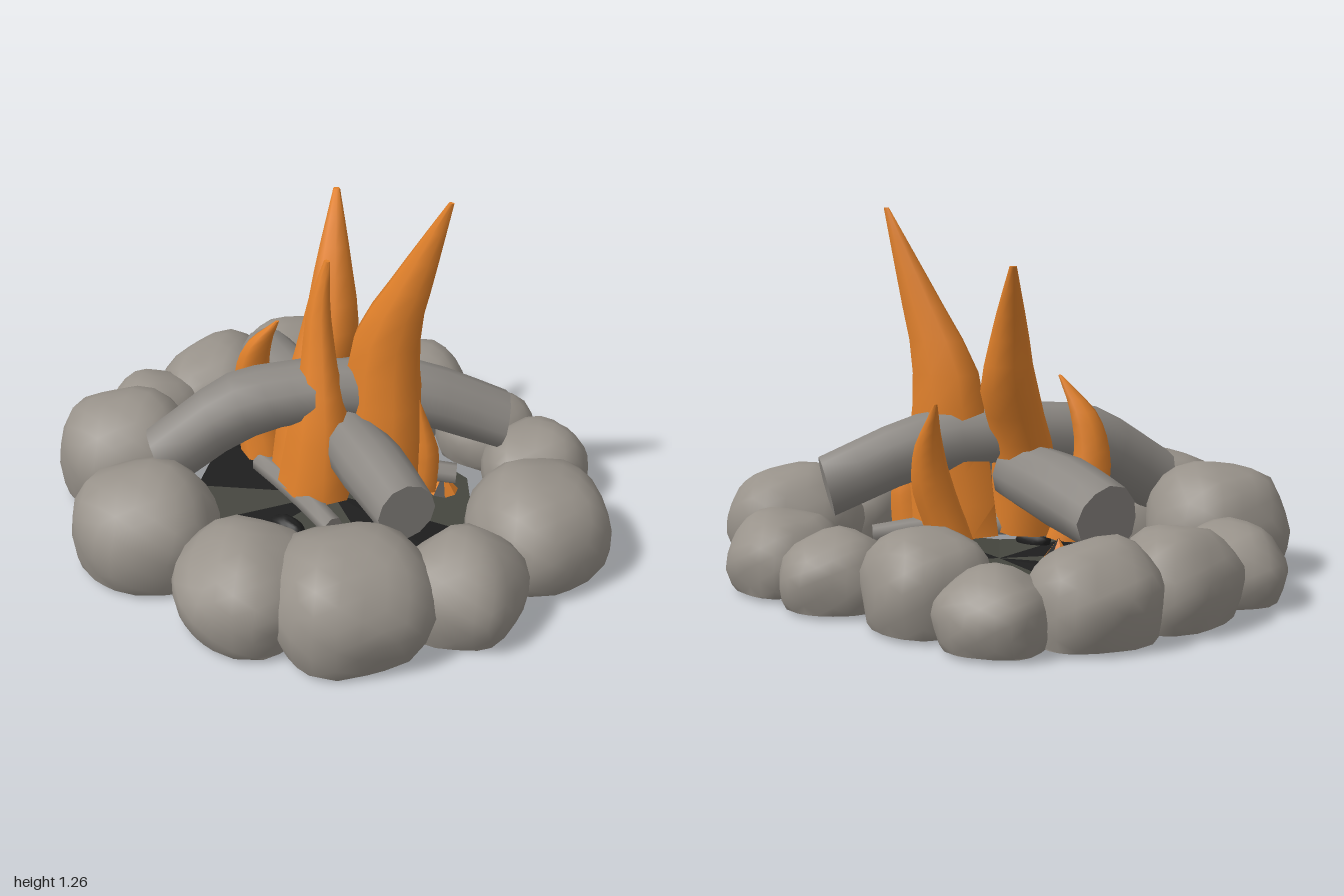
import * as THREE from 'three';
import { mergeVertices, toCreasedNormals } from 'three/addons/utils/BufferGeometryUtils.js';

const mat = (name, color) => {
  const m = new THREE.MeshStandardMaterial({ color });
  m.name = name;
  return m;
};

// Loft of rings along a smooth path; rings lie square to the chord (or to "up"), ends are capped
function loft(path, radii, { up, sides = 12, steps = 6, wobble = 0, depth = 1 }) {
  const curve = new THREE.CatmullRomCurve3(path.map((p) => new THREE.Vector3(...p)));
  const d = up || curve.getPoint(1).sub(curve.getPoint(0)).normalize();
  const ref = Math.abs(d.y) > 0.9 ? new THREE.Vector3(0, 0, 1) : new THREE.Vector3(0, 1, 0);
  const u = ref.clone().cross(d).normalize();
  const v = d.clone().cross(u);
  const pos = [], idx = [];
  for (let s = 0; s <= steps; s++) {
    const t = s / steps;
    const c = curve.getPoint(t);
    const f = t * (radii.length - 1), k = Math.min(Math.floor(f), radii.length - 2);
    const r = THREE.MathUtils.lerp(radii[k], radii[k + 1], f - k);
    for (let i = 0; i < sides; i++) {
      const a = (i / sides) * Math.PI * 2;
      const w = r * (1 + wobble * (Math.sin(a * 3 + path[0][0] * 20) + Math.sin(i * 5 + s * 0.7)));
      const p = c.clone().addScaledVector(u, Math.cos(a) * w).addScaledVector(v, Math.sin(a) * w * depth);
      pos.push(p.x, p.y, p.z);
    }
  }
  const n = (steps + 1) * sides;
  for (const t of [0, 1]) pos.push(...curve.getPoint(t).toArray());
  for (let i = 0; i < sides; i++) {
    const j = (i + 1) % sides;
    for (let s = 0; s < steps; s++) {
      const a = s * sides, b = a + sides;
      idx.push(a + i, a + j, b + j, a + i, b + j, b + i);
    }
    idx.push(n, j, i, n + 1, steps * sides + i, steps * sides + j);
  }
  const g = new THREE.BufferGeometry();
  g.setAttribute('position', new THREE.Float32BufferAttribute(pos, 3));
  g.setIndex(idx);
  return toCreasedNormals(g, 1.1);
}

// Lumpy boulder, steep-sided and open where it meets the ground
function boulder(rx, h, rz, seed) {
  let g = new THREE.IcosahedronGeometry(1, 3);
  g.deleteAttribute('uv');
  g.deleteAttribute('normal');
  g = mergeVertices(g);
  const p = g.attributes.position, floor = 0.013, cy = h * 0.4, low = cy * 1.9;
  const cut = (floor - cy) / low;
  for (let i = 0; i < p.count; i++) {
    const y = Math.max(cut, p.getY(i));
    // everything under the cut gathers on the rim
    const out = p.getY(i) < cut ? Math.sqrt((1 - cut * cut) / Math.max(1e-4, 1 - p.getY(i) ** 2)) : 1;
    const x = p.getX(i) * out, z = p.getZ(i) * out;
    const k = 1 + 0.03 * Math.sin(3.1 * x + 2 * z + seed * 2.1) + 0.035 * Math.sin(5 * z - 3 * x + seed * 3.7)
      + 0.025 * Math.sin(6 * y + 5 * x + seed);
    p.setXYZ(i, x * k, y > 0 ? y * k : y, z * k);
  }
  // fit to the wanted size
  g.computeBoundingBox();
  const { min, max } = g.boundingBox;
  const fit = (v, a) => ((v - min[a]) / (max[a] - min[a])) * 2 - 1;
  for (let i = 0; i < p.count; i++) {
    const y = p.getY(i);
    p.setXYZ(i, fit(p.getX(i), 'x') * rx, cy + (y > 0 ? (y / max.y) * (h - cy) : y * low), fit(p.getZ(i), 'z') * rz);
  }
  const idx = [...g.index.array], kept = [];
  for (let i = 0; i < idx.length; i += 3) {
    const tri = idx.slice(i, i + 3);
    if (tri.some((j) => p.getY(j) > floor + 1e-5)) kept.push(...tri);
  }
  g.setIndex(kept);
  return toCreasedNormals(g, 0.8);
}

// Fan over the ash outline; flip turns it to face down
function fan(rim, centre, flip, isDark) {
  const g = new THREE.BufferGeometry();
  const pos = [];
  rim.forEach((a, i) => {
    const b = rim[(i + 1) % rim.length];
    pos.push(...centre, ...(flip ? a : b), ...(flip ? b : a));
    g.addGroup(i * 3, 3, isDark(i) ? 1 : 0);
  });
  g.setAttribute('position', new THREE.Float32BufferAttribute(pos, 3));
  g.computeVertexNormals();
  return g;
}

export function createModel() {
  const stoneMat = mat('stone grey', 0x98928a);
  stoneMat.side = THREE.DoubleSide;
  const logMat = mat('charred wood grey', 0x8c8883);
  const flameMat = mat('flame orange', 0xe0802a);
  const ashMat = mat('ash grey', 0x45463f);
  const charMat = mat('charcoal black', 0x1e1e1e);

  const model = new THREE.Group();
  model.name = 'campfire';
  const add = (parent, name, geo, material) => {
    const m = new THREE.Mesh(geo, material);
    m.name = name;
    parent.add(m);
    return m;
  };
  const group = (name) => {
    const g = new THREE.Group();
    g.name = name;
    model.add(g);
    return g;
  };

  // Ring of stones: x, z, half width, half depth, height
  const stones = group('stoneRing');
  [
    [-0.24, 0.66, 0.265, 0.245, 0.37], [0.225, 0.645, 0.25, 0.26, 0.33],
    [0.525, 0.5, 0.285, 0.275, 0.365], [0.755, 0.21, 0.2, 0.215, 0.32],
    [0.75, -0.22, 0.25, 0.26, 0.345], [0.51, -0.55, 0.19, 0.205, 0.27],
    [0.225, -0.65, 0.175, 0.185, 0.26], [-0.13, -0.67, 0.225, 0.21, 0.31],
    [-0.42, -0.73, 0.175, 0.185, 0.25], [-0.625, -0.51, 0.21, 0.225, 0.31],
    [-0.745, -0.2, 0.2, 0.25, 0.3], [-0.81, 0.095, 0.19, 0.195, 0.26],
    [-0.615, 0.4, 0.255, 0.245, 0.39],
  ].forEach(([x, z, rx, rz, h], i) => {
    add(stones, 'stone', boulder(rx, h, rz, i + 1), stoneMat).position.set(x, 0, z);
  });

  // Ash bed: faceted disc, patchy on top and black below
  const bed = group('ashBed');
  const rim = [
    [-0.03, -0.475], [0.32, -0.41], [0.52, -0.19], [0.63, 0.02], [0.47, 0.24], [0.25, 0.37],
    [-0.02, 0.43], [-0.24, 0.4], [-0.42, 0.25], [-0.54, 0], [-0.54, -0.19], [-0.47, -0.34],
  ].map(([x, z], i) => [x, 0.02 + 0.018 * Math.sin(i * 2.3), z]);
  add(bed, 'ashTop', fan(rim, [0.02, 0.045, 0], false, (i) => [2, 3, 6, 8, 9].includes(i)), [ashMat, charMat]);
  add(bed, 'ashUnderside', fan(rim, [0.02, 0, 0], true, () => true), [ashMat, charMat]);

  // Leaning logs, each slightly bowed: path, radius
  const logs = group('logs');
  [
    [[[-0.35, 0.28, 0.49], [-0.18, 0.455, 0.25], [0.0, 0.495, 0.03]], 0.117],
    [[[0.54, 0.335, 0.24], [0.3, 0.345, 0.12], [0.06, 0.34, 0.0]], 0.108],
    [[[0.44, 0.33, -0.43], [0.2, 0.46, -0.2], [-0.06, 0.5, 0.07]], 0.107],
    [[[-0.54, 0.3, -0.26], [-0.3, 0.34, -0.12], [-0.06, 0.36, 0.01]], 0.117],
  ].forEach(([path, r]) => add(logs, 'log', loft(path, [r * 0.95, r * 1.04, r * 0.95], { wobble: 0.03 }), logMat));

  // Thin branches lying across the ash
  [
    [[-0.22, 0.14, 0.12], [0.0, 0.14, 0.17], [0.22, 0.12, 0.23]],
    [[-0.02, 0.17, 0.0], [0.16, 0.17, -0.12], [0.36, 0.14, -0.28]],
  ].forEach((path) => add(logs, 'branch', loft(path, [0.038, 0.042, 0.038], { sides: 7, steps: 4 }), logMat));

  // Flames: swept tongues that taper to a point: path, radii, depth against width
  const up = new THREE.Vector3(0, 1, 0);
  const flames = group('flames');
  [
    [[[0.15, 0.15, -0.09], [0.17, 0.42, -0.09], [0.175, 0.7, -0.1], [0.285, 0.98, -0.11], [0.405, 1.26, -0.12]],
      [0.18, 0.16, 0.13, 0.072, 0.01], 0.7],
    [[[-0.07, 0.15, 0.05], [-0.085, 0.42, 0.0], [-0.085, 0.66, -0.11], [-0.135, 0.88, -0.185], [-0.205, 1.085, -0.28]],
      [0.12, 0.1, 0.1, 0.06, 0.012], 1],
    [[[0.03, 0.15, 0.11], [0.035, 0.4, 0.09], [0.01, 0.6, 0.06], [-0.025, 0.8, 0.02], [-0.015, 0.965, -0.01]],
      [0.15, 0.118, 0.072, 0.045, 0.012], 0.75],
    [[[-0.25, 0.15, 0.05], [-0.31, 0.42, 0.06], [-0.28, 0.57, 0.06], [-0.19, 0.7, 0.05]],
      [0.1, 0.065, 0.05, 0.006], 1],
    [[[0.08, 0.15, -0.21], [0.12, 0.33, -0.26], [0.11, 0.47, -0.3], [0.04, 0.635, -0.36]],
      [0.08, 0.075, 0.055, 0.006], 0.9],
    [[[0.29, 0.15, -0.13], [0.31, 0.3, -0.14], [0.3, 0.5, -0.12]], [0.09, 0.065, 0.006], 0.75],
  ].forEach(([path, radii, depth]) =>
    add(flames, 'flame', loft(path, radii, { up, sides: 8, steps: 10, wobble: 0.015, depth }), flameMat));

  // Glowing embers, part orange and part burnt, and one dark coal
  const embers = group('embers');
  [[-0.07, 0.06, -0.35], [0.32, 0.1, -0.26], [-0.33, 0.17, -0.2]].forEach(([x, y, z]) => {
    const g = new THREE.ConeGeometry(0.055, 0.07, 8, 1).toNonIndexed();
    g.computeVertexNormals();
    g.clearGroups();
    for (let i = 0; i < g.attributes.position.count; i += 3) g.addGroup(i, 3, (i / 3) % 3 === 0 ? 1 : 0);
    add(embers, 'ember', g, [flameMat, charMat]).position.set(x, y, z);
  });
  const coal = add(embers, 'coal', boulder(0.07, 0.06, 0.035, 4), charMat);
  coal.position.set(0.04, 0.03, 0.26);

  return model;
}
